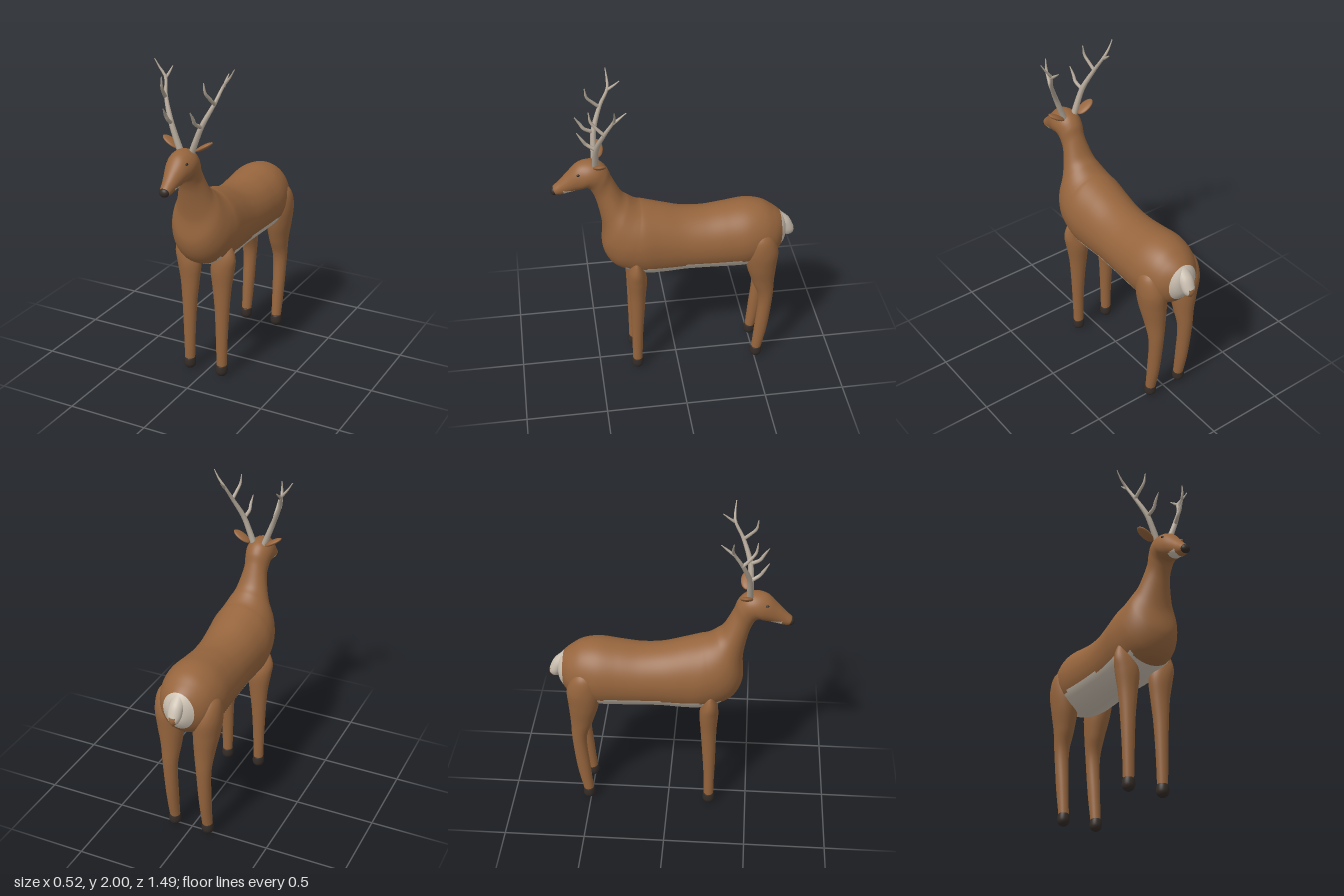
import * as THREE from 'three';

const mat = (name, color) => Object.assign(new THREE.MeshStandardMaterial({ color }), { name });

// Smooth curve through rows of numbers, resampled to n + 1 rows.
function resample(rows, n) {
  const at = (i, k) => rows[Math.min(Math.max(i, 0), rows.length - 1)][k];
  return Array.from({ length: n + 1 }, (_, s) => {
    const f = (s / n) * (rows.length - 1);
    const i = Math.min(Math.floor(f), rows.length - 2), t = f - i;
    return rows[0].map((_, k) => {
      const [a, b, c, d] = [at(i - 1, k), at(i, k), at(i + 1, k), at(i + 2, k)];
      return b + 0.5 * t * (c - a + t * (2 * a - 5 * b + 4 * c - d + t * (3 * (b - c) + d - a)));
    });
  });
}

// Elliptical loft. Row: [zA, yA, zB, yB, halfWidth, xCentre], A and B being opposite ring points.
// paint(x, y, z) picks the index of the material for each face.
function loft(name, rows, materials, { steps = 48, sides = 32, paint = () => 0 } = {}) {
  const pos = [], buckets = materials.map(() => []);
  for (const [za, ya, zb, yb, w, x = 0] of resample(rows, steps)) {
    for (let j = 0; j < sides; j++) {
      const a = (j / sides) * Math.PI * 2, c = Math.cos(a);
      pos.push(x + Math.max(w, 0.001) * Math.sin(a), (ya + yb) / 2 + c * (ya - yb) / 2, (za + zb) / 2 + c * (za - zb) / 2);
    }
  }
  for (let i = 0; i < steps; i++) {
    for (let j = 0; j < sides; j++) {
      const k = (j + 1) % sides;
      const a = i * sides + j, b = i * sides + k, d = a + sides, c = b + sides;
      const mid = [0, 1, 2].map((q) => (pos[a * 3 + q] + pos[b * 3 + q] + pos[c * 3 + q] + pos[d * 3 + q]) / 4);
      buckets[paint(...mid)].push(a, d, b, b, d, c);
    }
  }
  const geo = new THREE.BufferGeometry();
  geo.setAttribute('position', new THREE.Float32BufferAttribute(pos, 3));
  geo.setIndex(buckets.flat());
  let start = 0;
  buckets.forEach((list, i) => {
    geo.addGroup(start, list.length, i);
    start += list.length;
  });
  geo.computeVertexNormals();
  const mesh = new THREE.Mesh(geo, materials);
  mesh.name = name;
  return mesh;
}

// Tapered branch through points [x, y, z, radius].
function branch(name, points, material, side) {
  const curve = new THREE.CatmullRomCurve3(points.map(([x, y, z]) => new THREE.Vector3(x * side, y, z)));
  const steps = 20, sides = 8;
  const geo = new THREE.TubeGeometry(curve, steps, 1, sides, false);
  const radii = resample(points.map((p) => [p[3]]), steps);
  const p = geo.attributes.position, v = new THREE.Vector3();
  for (let i = 0; i <= steps; i++) {
    const c = curve.getPointAt(i / steps);
    for (let j = 0; j <= sides; j++) {
      const k = i * (sides + 1) + j;
      v.fromBufferAttribute(p, k).sub(c).multiplyScalar(radii[i][0]).add(c);
      p.setXYZ(k, v.x, v.y, v.z);
    }
  }
  const mesh = new THREE.Mesh(geo, material);
  mesh.name = name;
  return mesh;
}

function ellipsoid(name, material, position, scale, rotZ = 0) {
  const mesh = new THREE.Mesh(new THREE.SphereGeometry(1, 24, 16), material);
  mesh.name = name;
  mesh.position.set(...position);
  mesh.scale.set(...scale);
  mesh.rotation.z = rotZ;
  return mesh;
}

export function createModel() {
  const coat = mat('brown coat', 0x96653d);
  const cream = mat('cream fur', 0xcbc0b1);
  const horn = mat('antler', 0xb3a798);
  const dark = mat('hoof and nose', 0x332b26);
  const model = new THREE.Group();
  model.name = 'stag';

  // Rump, trunk, neck and head in one skin, with cream rump, belly and chin
  const spine = [
    [-0.685, 0.965, -0.685, 0.935, 0.004], [-0.675, 1.02, -0.678, 0.88, 0.055],
    [-0.65, 1.06, -0.65, 0.83, 0.095], [-0.6, 1.1, -0.6, 0.775, 0.145],
    [-0.53, 1.14, -0.52, 0.735, 0.18], [-0.43, 1.155, -0.42, 0.72, 0.198],
    [-0.3, 1.14, -0.3, 0.72, 0.193], [-0.17, 1.127, -0.17, 0.724, 0.187],
    [-0.04, 1.138, -0.04, 0.724, 0.185], [0.09, 1.175, 0.09, 0.717, 0.193],
    [0.19, 1.205, 0.2, 0.722, 0.202], [0.22, 1.213, 0.32, 0.762, 0.195],
    [0.247, 1.228, 0.405, 0.82, 0.18], [0.28, 1.255, 0.452, 0.93, 0.153],
    [0.326, 1.3, 0.448, 1.09, 0.11], [0.38, 1.41, 0.475, 1.25, 0.076],
    [0.406, 1.478, 0.505, 1.335, 0.078], [0.45, 1.525, 0.533, 1.365, 0.085],
    [0.512, 1.54, 0.565, 1.358, 0.084], [0.581, 1.523, 0.6, 1.348, 0.07],
    [0.645, 1.46, 0.64, 1.337, 0.052], [0.69, 1.413, 0.675, 1.327, 0.04],
    [0.728, 1.377, 0.708, 1.326, 0.03], [0.738, 1.358, 0.73, 1.34, 0.012],
  ];
  const isCream = (x, y, z) =>
    z < -0.648 || (y < 0.83 && z > -0.58 && z < 0.325) || (y < 1.366 && z > 0.597 && z < 0.668);
  model.add(loft('body', spine, [coat, cream], {
    steps: 230, sides: 80, paint: (x, y, z) => (isCream(x, y, z) ? 1 : 0),
  }));

  // Short tail with a brown tip
  model.add(loft('tail', [
    [-0.73, 0.888, -0.715, 0.885, 0.003], [-0.742, 0.92, -0.688, 0.888, 0.026],
    [-0.733, 0.955, -0.67, 0.915, 0.04], [-0.705, 1.01, -0.645, 0.95, 0.045],
    [-0.65, 1.06, -0.6, 0.95, 0.05],
  ], [cream, coat], {
    paint: (x, y, z) => (Math.abs(x) < 0.02 && y < 0.945 && z < -0.712 ? 1 : 0),
  }));

  // Muzzle tip
  model.add(ellipsoid('nose', dark, [0, 1.351, 0.722], [0.03, 0.027, 0.022]));

  // Legs, row: [y, zFront, zBack, xCentre, halfWidth]
  const legs = {
    front: [
      [0.93, 0.265, 0.255, 0.14, 0.003], [0.87, 0.285, 0.235, 0.138, 0.045], [0.8, 0.305, 0.212, 0.13, 0.071],
      [0.72, 0.312, 0.195, 0.114, 0.076], [0.6, 0.304, 0.203, 0.11, 0.06], [0.45, 0.3, 0.214, 0.112, 0.046],
      [0.25, 0.296, 0.227, 0.112, 0.037], [0.07, 0.294, 0.232, 0.112, 0.032],
    ],
    hind: [
      [1.03, -0.5, -0.52, 0.135, 0.004], [0.97, -0.44, -0.58, 0.135, 0.06], [0.87, -0.415, -0.618, 0.128, 0.082],
      [0.75, -0.428, -0.614, 0.117, 0.08], [0.62, -0.468, -0.607, 0.11, 0.062], [0.48, -0.512, -0.603, 0.111, 0.046],
      [0.25, -0.497, -0.58, 0.111, 0.038], [0.07, -0.482, -0.545, 0.111, 0.032],
    ],
  };
  for (const side of [1, -1]) {
    const tag = side > 0 ? 'left' : 'right';
    for (const [end, rows] of Object.entries(legs)) {
      const toSection = ([y, f, b, x, w]) => [f, y, b, y, w, x * side];
      model.add(loft(`${tag} ${end} leg`, rows.map(toSection), [coat]));
      // Rounded hoof
      const z = end === 'front' ? 0.263 : -0.512;
      const hoof = [[0.077, 0.02], [0.076, 0.033], [0.04, 0.038], [0.018, 0.032], [0.004, 0.017], [0, 0.001]];
      model.add(loft(`${tag} ${end} hoof`, hoof.map(([y, r]) => toSection([y, z + r, z - r, 0.112, r])), [dark], { steps: 20 }));
    }

    // Ear and eye
    model.add(ellipsoid(`${tag} ear`, coat, [0.105 * side, 1.552, 0.455], [0.062, 0.014, 0.038], 0.55 * side));
    model.add(ellipsoid(`${tag} eye`, dark, [0.064 * side, 1.482, 0.578], [0.006, 0.007, 0.011]));

    // Antler beam and tines
    const antler = new THREE.Group();
    antler.name = `${tag} antler`;
    antler.add(
      branch('beam', [[0.035, 1.51, 0.475, 0.02], [0.065, 1.59, 0.475, 0.018], [0.1, 1.68, 0.468, 0.016],
        [0.158, 1.81, 0.42, 0.013], [0.187, 1.9, 0.372, 0.01], [0.225, 1.95, 0.37, 0.008], [0.255, 2, 0.375, 0.003]], horn, side),
      branch('lower tine', [[0.098, 1.67, 0.47, 0.012], [0.086, 1.705, 0.525, 0.011],
        [0.088, 1.735, 0.545, 0.009], [0.085, 1.785, 0.577, 0.003]], horn, side),
      branch('middle tine', [[0.158, 1.8, 0.425, 0.011], [0.148, 1.84, 0.465, 0.01],
        [0.138, 1.88, 0.497, 0.008], [0.133, 1.942, 0.507, 0.003]], horn, side),
      branch('upper tine', [[0.187, 1.89, 0.375, 0.009], [0.182, 1.92, 0.335, 0.007], [0.18, 1.948, 0.3, 0.003]], horn, side),
    );
    model.add(antler);
  }
  return model;
}
